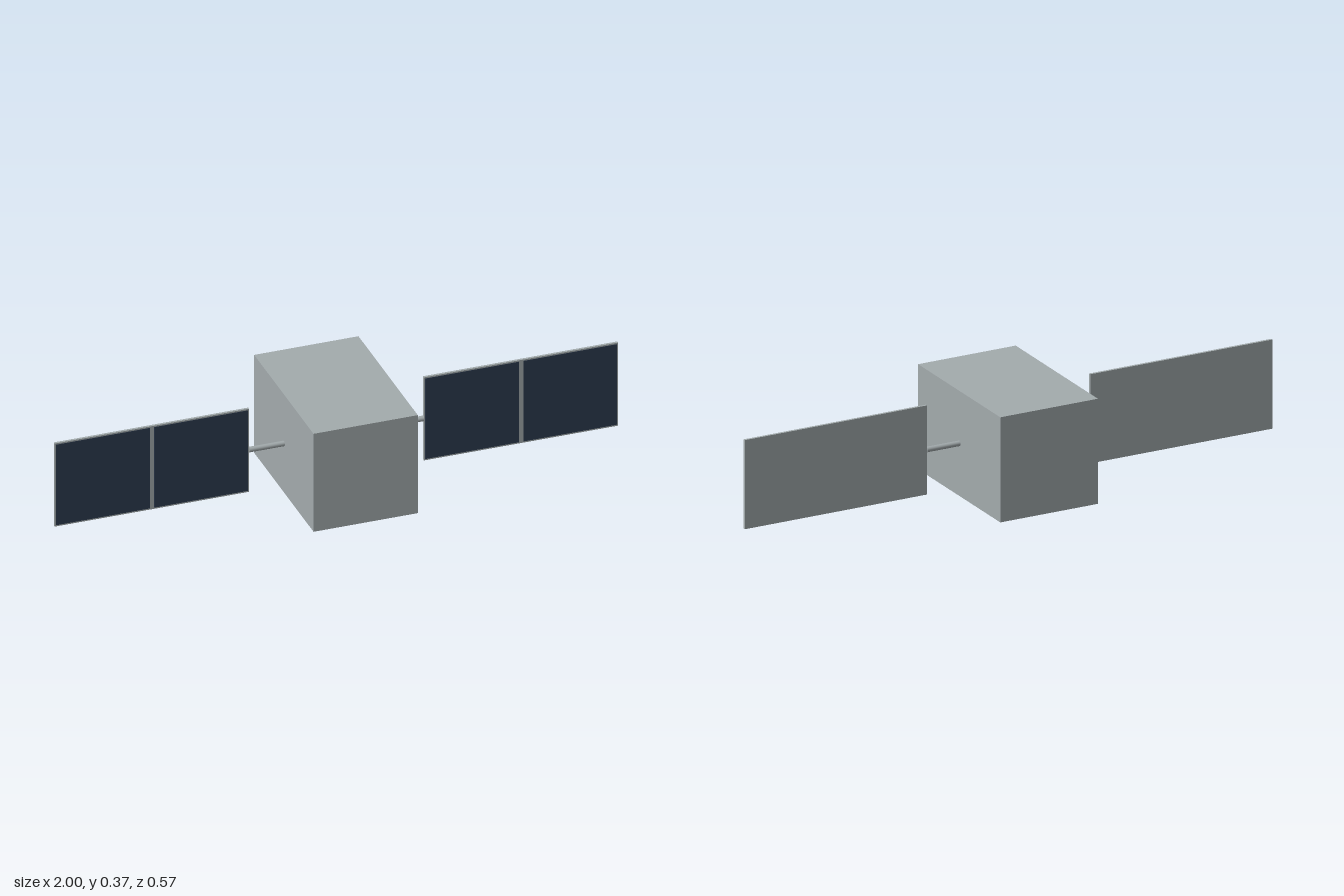
import * as THREE from 'three';

export function createModel() {
  const model = new THREE.Group();
  model.name = 'satellite';

  const hullGrey = new THREE.MeshStandardMaterial({ color: 0xa3abad });
  hullGrey.name = 'hullGrey';
  const cellBlue = new THREE.MeshStandardMaterial({ color: 0x2c3a4e });
  cellBlue.name = 'cellBlue';

  const midY = 0.187;

  const add = (parent, name, geometry, material, x, y, z) => {
    const mesh = new THREE.Mesh(geometry, material);
    mesh.name = name;
    mesh.position.set(x, y, z);
    parent.add(mesh);
    return mesh;
  };

  // Main body, long in z
  add(model, 'body', new THREE.BoxGeometry(0.37, 0.374, 0.574), hullGrey, 0, midY, 0);

  // One solar wing per side
  for (const side of [-1, 1]) {
    const wing = new THREE.Group();
    wing.name = side > 0 ? 'leftWing' : 'rightWing';
    model.add(wing);

    // Boom from body to panel
    const boom = new THREE.CylinderGeometry(0.0095, 0.0095, 0.125, 12);
    boom.rotateZ(Math.PI / 2);
    add(wing, 'boom', boom, hullGrey, side * 0.247, midY, 0);

    // Backing panel
    add(wing, 'panel', new THREE.BoxGeometry(0.69, 0.317, 0.009), hullGrey, side * 0.655, midY, 0);

    // Two thin solar cells on the front face
    for (const half of [-1, 1]) {
      add(wing, 'solarCell', new THREE.BoxGeometry(0.332, 0.307, 0.001), cellBlue,
        side * 0.655 + half * 0.174, midY, 0.005);
    }
  }

  return model;
}
